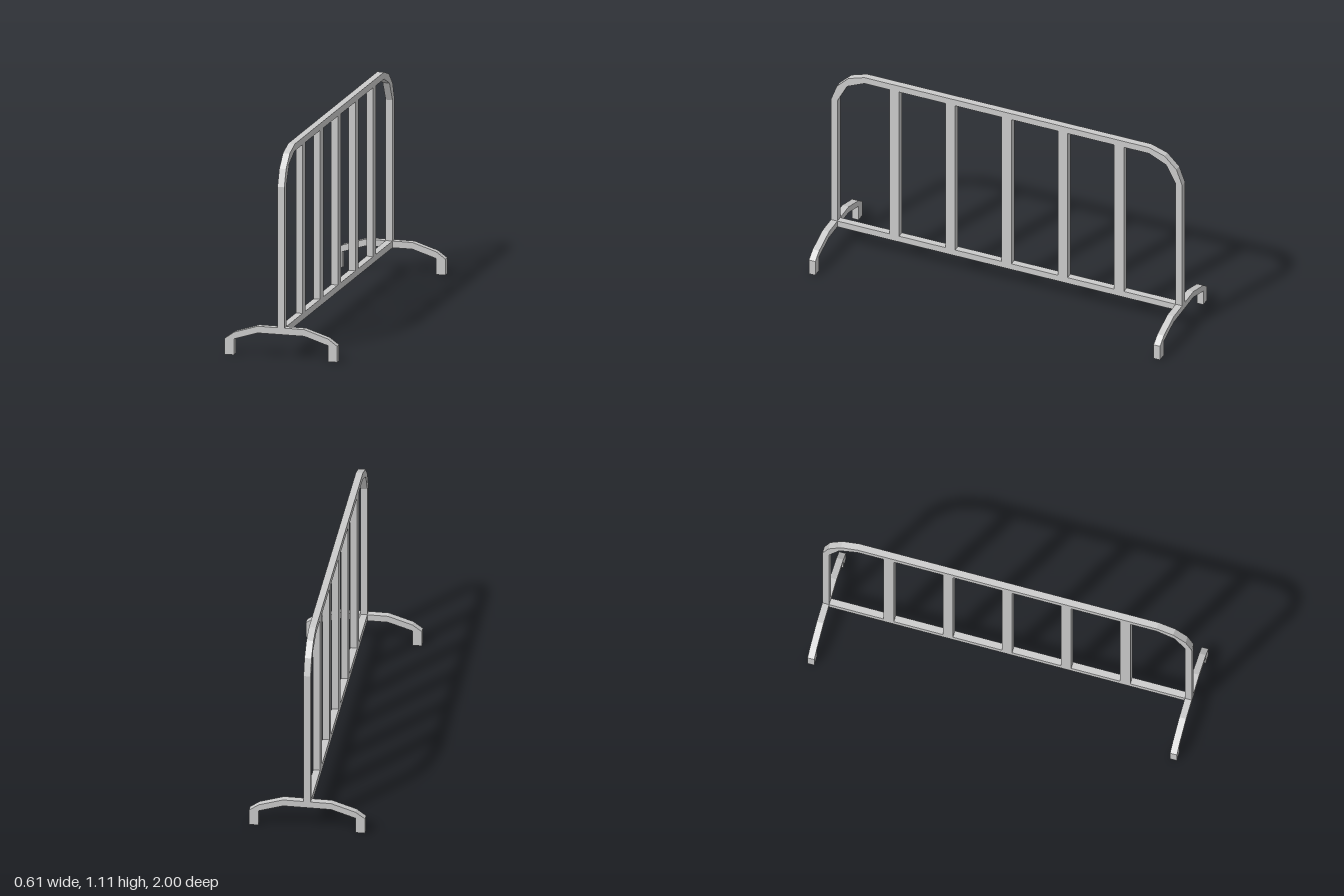
import * as THREE from 'three';

const T = 0.037; // tube thickness
const material = new THREE.MeshStandardMaterial({ color: 0xcccccc, flatShading: true });

// Closed symmetric profile from the right halves of its outer and inner outlines (bottom to top)
function archGeometry(outer, inner) {
  const mirror = (pts) => pts.map(([x, y]) => [-x, y]);
  const points = [
    ...outer,
    ...mirror(outer).reverse(),
    ...mirror(inner),
    ...[...inner].reverse(),
  ].map(([x, y]) => new THREE.Vector2(x, y));
  const geometry = new THREE.ExtrudeGeometry(new THREE.Shape(points), { depth: T, bevelEnabled: false });
  return geometry.translate(0, 0, -T / 2);
}

export function createModel() {
  const group = new THREE.Group();

  function add(name, geometry, x, y, z) {
    const mesh = new THREE.Mesh(geometry, material);
    mesh.name = name;
    mesh.position.set(x, y, z);
    group.add(mesh);
    return mesh;
  }

  // Posts and top rail with rounded corners, as one bent tube
  const frame = archGeometry(
    [[1, 0.163], [1, 0.92], [0.967, 1.01], [0.9, 1.077], [0.81, 1.107]],
    [[1 - T, 0.163], [1 - T, 0.92], [0.908, 1.025], [0.81, 1.107 - T]],
  );
  frame.rotateY(Math.PI / 2);
  add('frame', frame, 0, 0, 0);

  // Bottom rail between the feet
  add('bottomRail', new THREE.BoxGeometry(T, 0.036, 2 - 2 * T), 0, 0.145, 0);

  // Vertical bars
  const barBottom = 0.163, barTop = 1.107 - T;
  const bar = new THREE.BoxGeometry(T, barTop - barBottom, 0.055);
  for (let i = -2; i <= 2; i++) add('bar', bar, 0, (barBottom + barTop) / 2, i * 0.32);

  // Arched feet at both ends
  const foot = archGeometry(
    [[0.306, 0], [0.306, 0.086], [0.256, 0.122], [0.127, 0.163]],
    [[0.256, 0], [0.256, 0.086], [0.127, 0.127]],
  );
  for (const side of [1, -1]) add(side > 0 ? 'frontFoot' : 'backFoot', foot, 0, 0, side * (1 - T / 2));

  return group;
}
